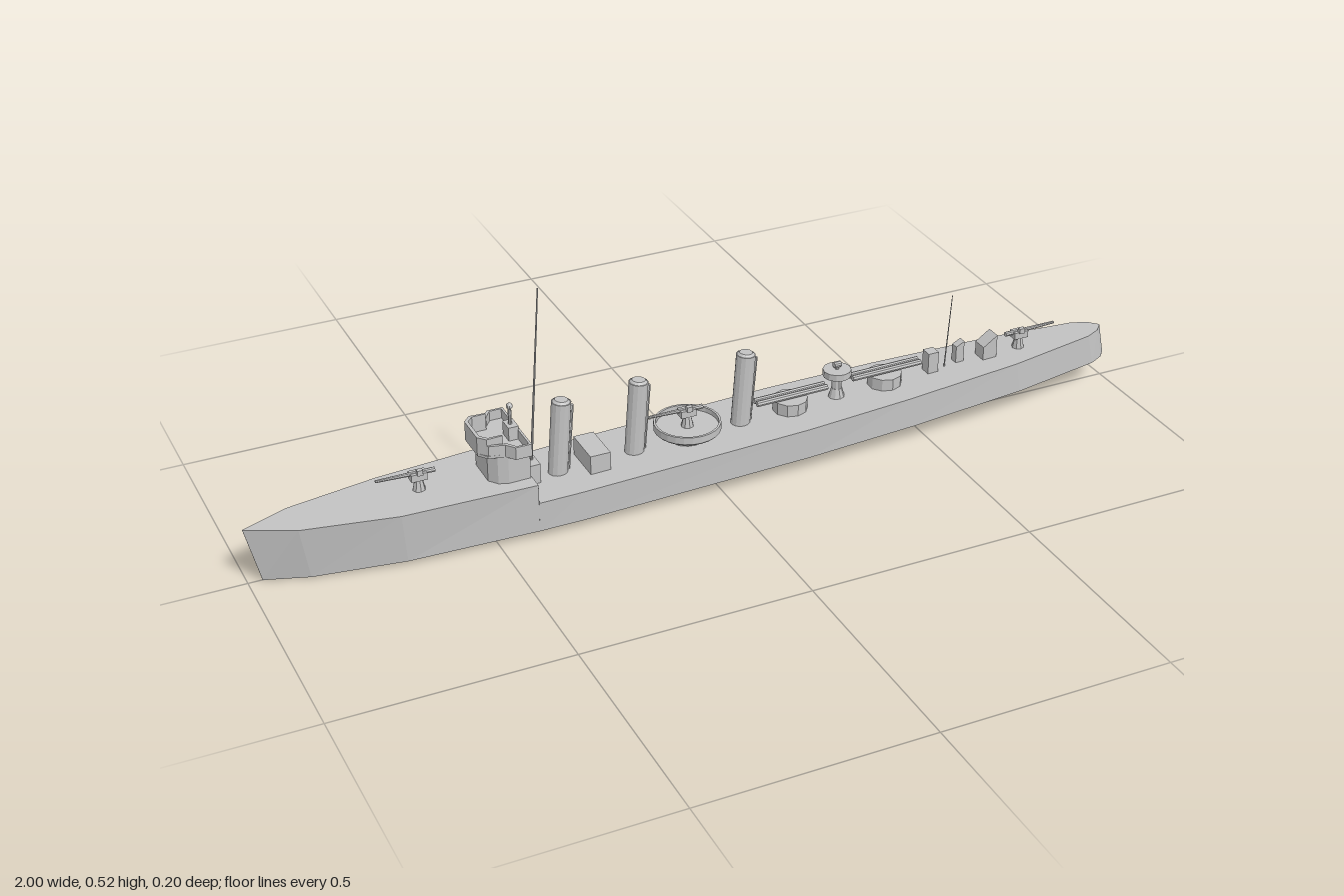
import * as THREE from 'three';

const grey = new THREE.MeshStandardMaterial({ color: 0xc2c2c2, flatShading: true, side: THREE.DoubleSide });
grey.name = 'ship grey';

export function createModel() {
  const ship = new THREE.Group();
  ship.name = 'warship';

  const add = (name, geometry, x = 0, y = 0, z = 0, parent = ship) => {
    const mesh = new THREE.Mesh(geometry, grey);
    mesh.name = name;
    mesh.position.set(x, y, z);
    parent.add(mesh);
    return mesh;
  };
  // Box given by its x and y limits and its full depth
  const block = (name, x0, x1, y0, y1, depth, z = 0, parent = ship) =>
    add(name, new THREE.BoxGeometry(x1 - x0, y1 - y0, depth), (x0 + x1) / 2, (y0 + y1) / 2, z, parent);
  // Upright round part
  const drum = (name, x, y0, y1, rBottom, rTop, sides = 10, parent = ship) =>
    add(name, new THREE.CylinderGeometry(rTop, rBottom, y1 - y0, sides), x, (y0 + y1) / 2, 0, parent);
  // Rod between two points
  const rod = (name, from, to, r0, r1 = r0, sides = 8, parent = ship) => {
    const a = new THREE.Vector3(...from), b = new THREE.Vector3(...to);
    const dir = b.clone().sub(a);
    const mesh = add(name, new THREE.CylinderGeometry(r1, r0, dir.length(), sides), 0, 0, 0, parent);
    mesh.position.copy(a).add(b).multiplyScalar(0.5);
    mesh.quaternion.setFromUnitVectors(new THREE.Vector3(0, 1, 0), dir.normalize());
  };
  const deckY = x => 0.085 + (x + 0.415) * 0.033;

  // Hull stations: deck x, keel x, deck half width, bottom half width, deck y
  const stations = [
    [-1, -0.97, 0.001, 0.001, 0.125],
    [-0.9, -0.88, 0.045, 0.036, 0.123],
    [-0.7, -0.69, 0.081, 0.073, 0.122],
    [-0.415, -0.415, 0.097, 0.095, 0.128],
    [-0.415, -0.415, 0.097, 0.095, deckY(-0.415)],
    [-0.32, -0.32, 0.1, 0.099, deckY(-0.32)],
    [0.2, 0.2, 0.1, 0.1, deckY(0.2)],
    [0.45, 0.455, 0.089, 0.091, deckY(0.45)],
    [0.73, 0.74, 0.067, 0.07, deckY(0.73)],
    [0.935, 0.95, 0.036, 0.038, 0.13],
    [0.968, 0.983, 0.021, 0.022, 0.131],
    [0.986, 1, 0.002, 0.002, 0.131],
  ].map(([xt, xb, wt, wb, y]) => {
    const yb = (xb + 0.97) * 0.031;
    return { tl: [xt, y, wt], tr: [xt, y, -wt], bl: [xb, yb, wb], br: [xb, yb, -wb] };
  });
  const pos = [];
  const quad = (a, b, c, d) => pos.push(...a, ...b, ...c, ...a, ...c, ...d);
  for (let i = 0; i < stations.length - 1; i++) {
    const p = stations[i], q = stations[i + 1];
    quad(p.tl, q.tl, q.tr, p.tr);
    quad(p.bl, q.bl, q.tl, p.tl);
    quad(q.br, p.br, p.tr, q.tr);
    quad(p.br, q.br, q.bl, p.bl);
  }
  const first = stations[0], last = stations[stations.length - 1];
  quad(first.br, first.bl, first.tl, first.tr);
  quad(last.bl, last.br, last.tr, last.tl);
  const hull = new THREE.BufferGeometry();
  hull.setAttribute('position', new THREE.Float32BufferAttribute(pos, 3));
  hull.computeVertexNormals();
  add('hull', hull);

  // Plan outline, mirrored across the centreline and raised into a solid or a wall
  const planShape = half => {
    const other = half.map(([x, z]) => [x, -z]).reverse();
    return new THREE.Shape([...half, ...other].map(([x, z]) => new THREE.Vector2(x, z)));
  };
  const raised = (name, half, y0, y1, inner) => {
    const shape = planShape(half);
    if (inner) shape.holes.push(new THREE.Path(planShape(inner).getPoints()));
    const g = new THREE.ExtrudeGeometry(shape, { depth: y1 - y0, bevelEnabled: false });
    g.rotateX(-Math.PI / 2);
    add(name, g, 0, y0, 0);
  };

  // Bridge with stepped open top
  raised('bridgeHouse', [[-0.5, 0.035], [-0.485, 0.055], [-0.465, 0.063], [-0.418, 0.063]], 0.122, 0.192);
  raised('bridgeFloor', [[-0.52, 0.035], [-0.505, 0.055], [-0.47, 0.063], [-0.455, 0.082], [-0.42, 0.082]], 0.19, 0.196);
  raised('bridgeWingWall', [[-0.518, 0.035], [-0.503, 0.055], [-0.47, 0.063], [-0.455, 0.082], [-0.42, 0.082]],
    0.194, 0.218, [[-0.512, 0.032], [-0.498, 0.05], [-0.465, 0.058], [-0.451, 0.077], [-0.425, 0.077]]);
  raised('bridgeScreen', [[-0.52, 0.035], [-0.505, 0.052], [-0.47, 0.05], [-0.47, 0.046], [-0.5, 0.046], [-0.513, 0.032]], 0.194, 0.233);
  block('chartTable', -0.445, -0.423, 0.194, 0.226, 0.034);
  rod('lampPost', [-0.435, 0.22, 0], [-0.435, 0.262, 0], 0.004);
  add('lamp', new THREE.SphereGeometry(0.007, 10, 6), -0.435, 0.267, 0);
  block('bridgeLocker', -0.415, -0.382, 0.08, 0.13, 0.05);

  // Masts
  rod('foremast', [-0.395, 0.084, 0], [-0.365, 0.518, 0], 0.003, 0.0015);
  rod('aftMast', [0.583, 0.115, 0], [0.595, 0.29, 0], 0.0015, 0.0008, 6);

  // Raked funnels
  for (const [x, top] of [[-0.335, 0.25], [-0.163, 0.255], [0.083, 0.262]]) {
    const at = y => [x + (y - 0.085) * 0.075, y, 0];
    rod('funnel', at(deckY(x) - 0.005), at(top), 0.021, 0.021, 14);
    rod('funnelCap', at(top), at(top + 0.005), 0.019, 0.014, 14);
    const pipe = at(top - 0.012);
    rod('steamPipe', [x + 0.023, deckY(x), 0], [pipe[0] + 0.024, pipe[1], 0], 0.004, 0.004, 6);
  }
  block('engineCasing', -0.28, -0.235, 0.08, 0.132, 0.092);

  // Deck guns; dir is -1 toward the bow, 1 toward the stern
  const gun = (name, x, y, dir) => {
    const g = new THREE.Group();
    g.name = name;
    g.position.set(x, y, 0);
    g.rotation.y = dir < 0 ? Math.PI : 0;
    ship.add(g);
    drum('gunPedestal', 0, -0.002, 0.026, 0.014, 0.008, 8, g);
    block('gunCradle', -0.016, 0.018, 0.024, 0.04, 0.022, 0, g);
    block('gunSight', -0.006, 0.006, 0.038, 0.05, 0.01, 0.01 * dir, g);
    rod('gunBarrel', [-0.035, 0.037, 0], [0.09, 0.04, 0], 0.0055, 0.003, 8, g);
  };
  gun('foreGun', -0.635, 0.124, -1);
  gun('midGun', -0.04, 0.124, -1);
  gun('aftGun', 0.772, 0.125, 1);

  // Round midship gun platform with a raised rim
  drum('platformBase', -0.04, 0.09, 0.116, 0.04, 0.05, 16);
  const rim = [[0, 0.114], [0.068, 0.114], [0.072, 0.118], [0.072, 0.134], [0.067, 0.134], [0.067, 0.123], [0, 0.123]];
  add('gunPlatform', new THREE.LatheGeometry(rim.map(([r, y]) => new THREE.Vector2(r, y)), 24), -0.04);

  // Twin torpedo tubes on turntables
  for (const x of [0.203, 0.433]) {
    const y = deckY(x);
    drum('tubeTurntable', x, y - 0.005, y + 0.026, 0.038, 0.038, 10);
    for (const z of [-0.007, 0.007])
      rod('torpedoTube', [x - 0.083, y + 0.033, z], [x + 0.085, y + 0.035, z], 0.0065, 0.0065, 8);
  }

  // Searchlight stand between the tubes
  drum('standFoot', 0.315, 0.105, 0.13, 0.019, 0.012, 10);
  drum('standColumn', 0.315, 0.125, 0.158, 0.011, 0.011, 10);
  drum('standFlare', 0.315, 0.153, 0.16, 0.012, 0.03, 12);
  drum('standPlatform', 0.315, 0.16, 0.175, 0.031, 0.031, 12);
  rod('searchlight', [0.307, 0.186, 0], [0.323, 0.186, 0], 0.007, 0.007, 10);
  rod('searchlightPost', [0.315, 0.17, 0], [0.315, 0.185, 0], 0.004);

  // Aft deck locker and slant-topped hatches
  block('aftLocker', 0.535, 0.56, 0.11, 0.165, 0.026);
  const hatch = (name, x0, x1, low, high, depth, z) => {
    const side = new THREE.Shape([[x0, 0.112], [x1, 0.112], [x1, high], [x0, low]].map(p => new THREE.Vector2(...p)));
    add(name, new THREE.ExtrudeGeometry(side, { depth, bevelEnabled: false }), 0, 0, z - depth / 2);
  };
  hatch('aftVent', 0.613, 0.633, 0.158, 0.168, 0.018, -0.01);
  hatch('aftHatch', 0.672, 0.706, 0.152, 0.175, 0.034, 0);

  return ship;
}
